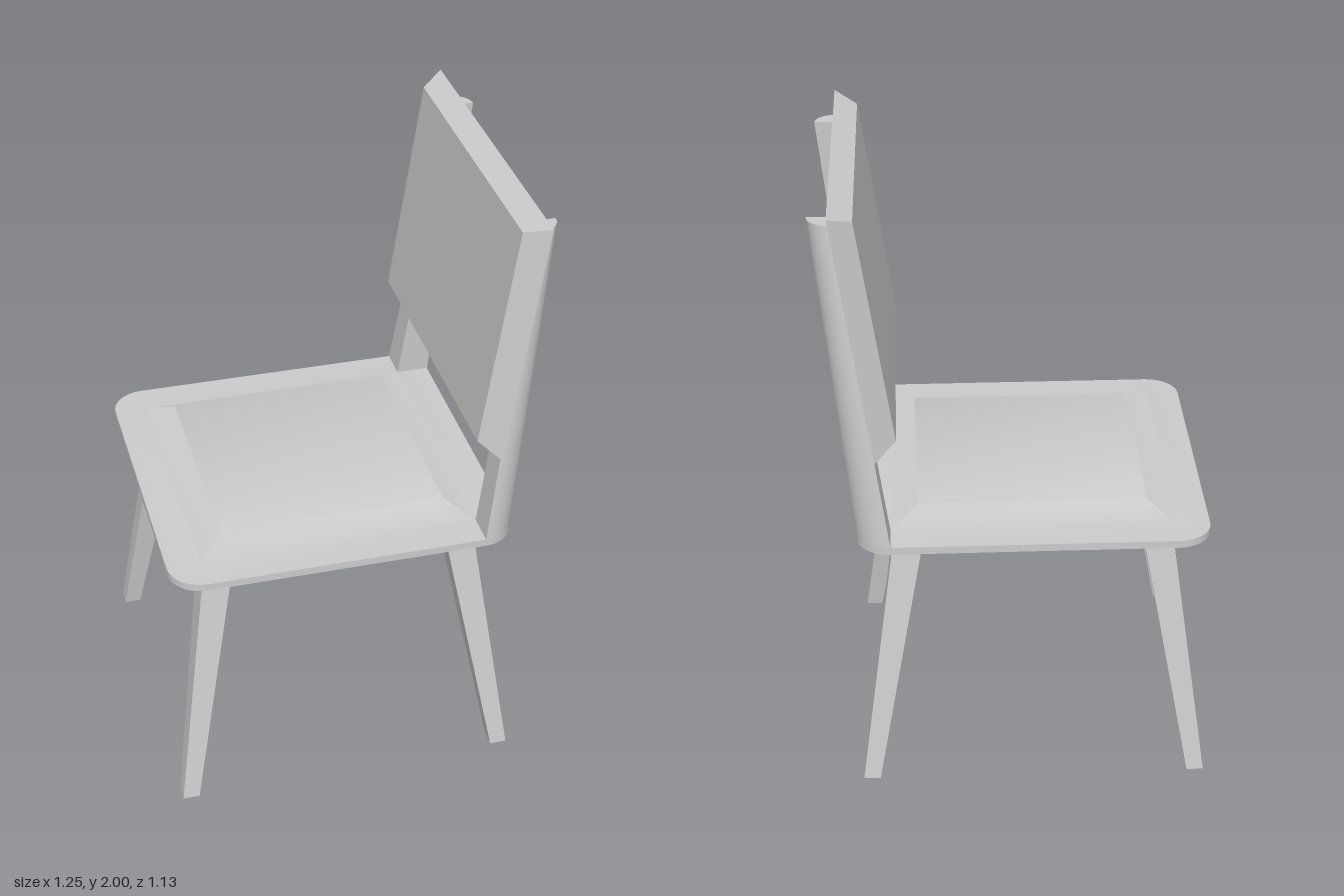
import * as THREE from 'three';
import { toCreasedNormals } from 'three/addons/utils/BufferGeometryUtils.js';

const material = new THREE.MeshStandardMaterial({ color: 0xcccccc });

// Solid skinned through matching loops of [x, y, z], each counter-clockwise seen from the last loop's side
function loft(name, loops, crease = 0.6) {
  const pos = [];
  const tri = (...pts) => {
    const [a, b, c] = pts.map((p) => new THREE.Vector3(...p));
    if (b.clone().sub(a).cross(c.clone().sub(a)).length() > 1e-7) pos.push(...pts.flat());
  };
  const n = loops[0].length;
  for (let k = 0; k < loops.length - 1; k++) {
    for (let i = 0; i < n; i++) {
      const j = (i + 1) % n;
      const [lo, hi] = [loops[k], loops[k + 1]];
      tri(lo[i], lo[j], hi[j]);
      tri(lo[i], hi[j], hi[i]);
    }
  }
  const first = loops[0], last = loops[loops.length - 1];
  for (let i = 1; i < n - 1; i++) {
    tri(first[0], first[i + 1], first[i]);
    tri(last[0], last[i], last[i + 1]);
  }
  const geometry = new THREE.BufferGeometry();
  geometry.setAttribute('position', new THREE.Float32BufferAttribute(pos, 3));
  const mesh = new THREE.Mesh(toCreasedNormals(geometry, crease), material);
  mesh.name = name;
  return mesh;
}

// Mirror loops across z, keeping the winding outward
const mirrorZ = (loops) => loops.map((l) => l.map(([x, y, z]) => [x, y, -z]).reverse());

// Horizontal rectangle with rounded corners of radius r
function roundedLoop(x0, x1, hz, y, r, steps = 8) {
  const pts = [];
  for (let q = 0; q < 4; q++) {
    const cx = q === 0 || q === 3 ? x1 - r : x0 + r;
    const cz = q < 2 ? -hz + r : hz - r;
    for (let s = 0; s <= steps; s++) {
      const a = (q + s / steps) * Math.PI / 2;
      pts.push([cx + r * Math.cos(a), y, cz - r * Math.sin(a)]);
    }
  }
  return pts;
}

const rect = (x0, x1, z0, z1, y) => [[x1, y, z0], [x0, y, z0], [x0, y, z1], [x1, y, z1]];

// Quarter disc with its square corner at (x, z), bulging to +x and +z
function quarterLoop(x, z, y, r, steps = 8) {
  const pts = [[x, y, z]];
  for (let s = 0; s <= steps; s++) {
    const a = (s / steps - 1) * Math.PI / 2;
    pts.push([x + r * Math.cos(a), y, z - r * Math.sin(a)]);
  }
  return pts;
}

export function createModel() {
  const chair = new THREE.Group();
  chair.name = 'chair';

  // Seat: bevelled underside, thin rim and raised soft pad
  chair.add(loft('seat', [
    roundedLoop(-0.55, 0.43, 0.49, 0.83, 0.07),
    roundedLoop(-0.625, 0.505, 0.565, 0.865, 0.11),
    roundedLoop(-0.625, 0.505, 0.565, 0.89, 0.11),
    roundedLoop(-0.515, 0.395, 0.455, 0.89, 0),
    roundedLoop(-0.43, 0.31, 0.37, 0.935, 0),
  ]));

  // Tapered splayed legs
  const legs = {
    front: [rect(-0.625, -0.57, 0.51, 0.565, 0), rect(-0.51, -0.415, 0.36, 0.455, 0.835)],
    back: [rect(0.45, 0.505, 0.51, 0.565, 0), rect(0.295, 0.39, 0.36, 0.455, 0.835)],
  };
  for (const [place, loops] of Object.entries(legs)) {
    chair.add(loft(place + 'RightLeg', loops), loft(place + 'LeftLeg', mirrorZ(loops)));
  }

  // Quarter-round back posts rising from the rear seat corners
  const post = [quarterLoop(0.395, 0.455, 0.885, 0.11), quarterLoop(0.55, 0.405, 1.945, 0.07)];
  chair.add(loft('rightBackPost', post), loft('leftBackPost', mirrorZ(post)));

  // Leaning backrest panel with bevelled edges, from rear face to front face
  const panel = (hz, xLow, yLow, xHigh, yHigh) => [
    [xLow, yLow, -hz], [xLow, yLow, hz], [xHigh, yHigh, hz], [xHigh, yHigh, -hz],
  ];
  chair.add(loft('backrest', [
    panel(0.565, 0.437, 1.19, 0.555, 2),
    panel(0.508, 0.37, 1.24, 0.48, 1.97),
  ]));

  return chair;
}
